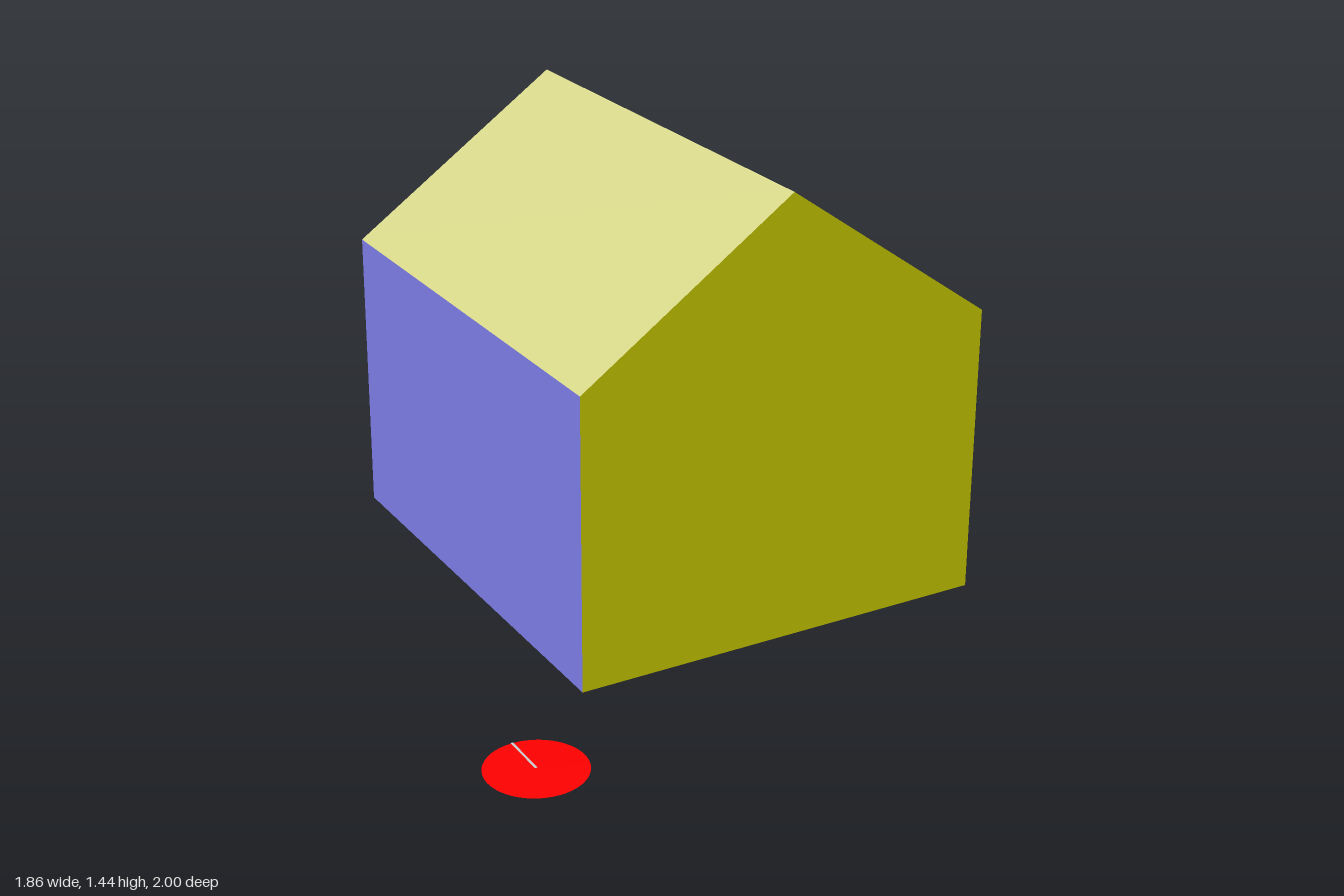
import * as THREE from 'three';

const LEFT = -0.47, RIGHT = 0.93, RIDGE_X = 0.23;
const EAVE = 0.95, RIDGE_Y = 1.44, FRONT = 0.54, BACK = -1;

function add(group, name, geometry, color) {
  const material = new THREE.MeshStandardMaterial({ color, side: THREE.DoubleSide });
  const mesh = new THREE.Mesh(geometry, material);
  mesh.name = name;
  group.add(mesh);
  return mesh;
}

// Flat panel running from back to front between two points of the gable outline
function panel([x0, y0], [x1, y1]) {
  const geometry = new THREE.BufferGeometry();
  geometry.setAttribute('position', new THREE.Float32BufferAttribute([
    x0, y0, FRONT, x1, y1, FRONT, x1, y1, BACK, x0, y0, BACK,
  ], 3));
  geometry.setIndex([0, 1, 2, 0, 2, 3]);
  geometry.computeVertexNormals();
  return geometry;
}

export function createModel() {
  const model = new THREE.Group();
  const house = new THREE.Group();
  house.name = 'house';
  model.add(house);

  // Outline runs counter-clockwise, starting at the right-hand foot
  const outline = [[RIGHT, 0], [RIGHT, EAVE], [RIDGE_X, RIDGE_Y], [LEFT, EAVE], [LEFT, 0]];
  const gable = new THREE.Shape(outline.map(([x, y]) => new THREE.Vector2(x, y)));

  // Gable walls; the house has no floor
  add(house, 'frontWall', new THREE.ShapeGeometry(gable), 0xffff00).position.z = FRONT;
  const backWall = add(house, 'backWall', new THREE.ShapeGeometry(gable), 0x0000ff);
  backWall.geometry.rotateY(Math.PI).translate(LEFT + RIGHT, 0, 0);
  backWall.position.z = BACK;

  // Side walls and roof slopes, +x side first
  const sides = [
    ['leftWall', 0x9999d8], ['leftRoof', 0xdddd77],
    ['rightRoof', 0xd2d286], ['rightWall', 0x7b7be4],
  ];
  sides.forEach(([name, color], i) => add(house, name, panel(outline[i], outline[i + 1]), color));

  // Round ground marker with a thin pointer towards the back
  const marker = new THREE.Group();
  marker.name = 'groundMarker';
  marker.position.set(-0.78, 0, 0.845);
  model.add(marker);
  const radius = 0.153;
  add(marker, 'disc', new THREE.CircleGeometry(radius, 48).rotateX(-Math.PI / 2), 0xff0000);
  const pointer = new THREE.PlaneGeometry(0.008, radius).rotateX(-Math.PI / 2);
  add(marker, 'pointer', pointer, 0xcccccc).position.set(0, 0.002, -radius / 2);

  return model;
}
